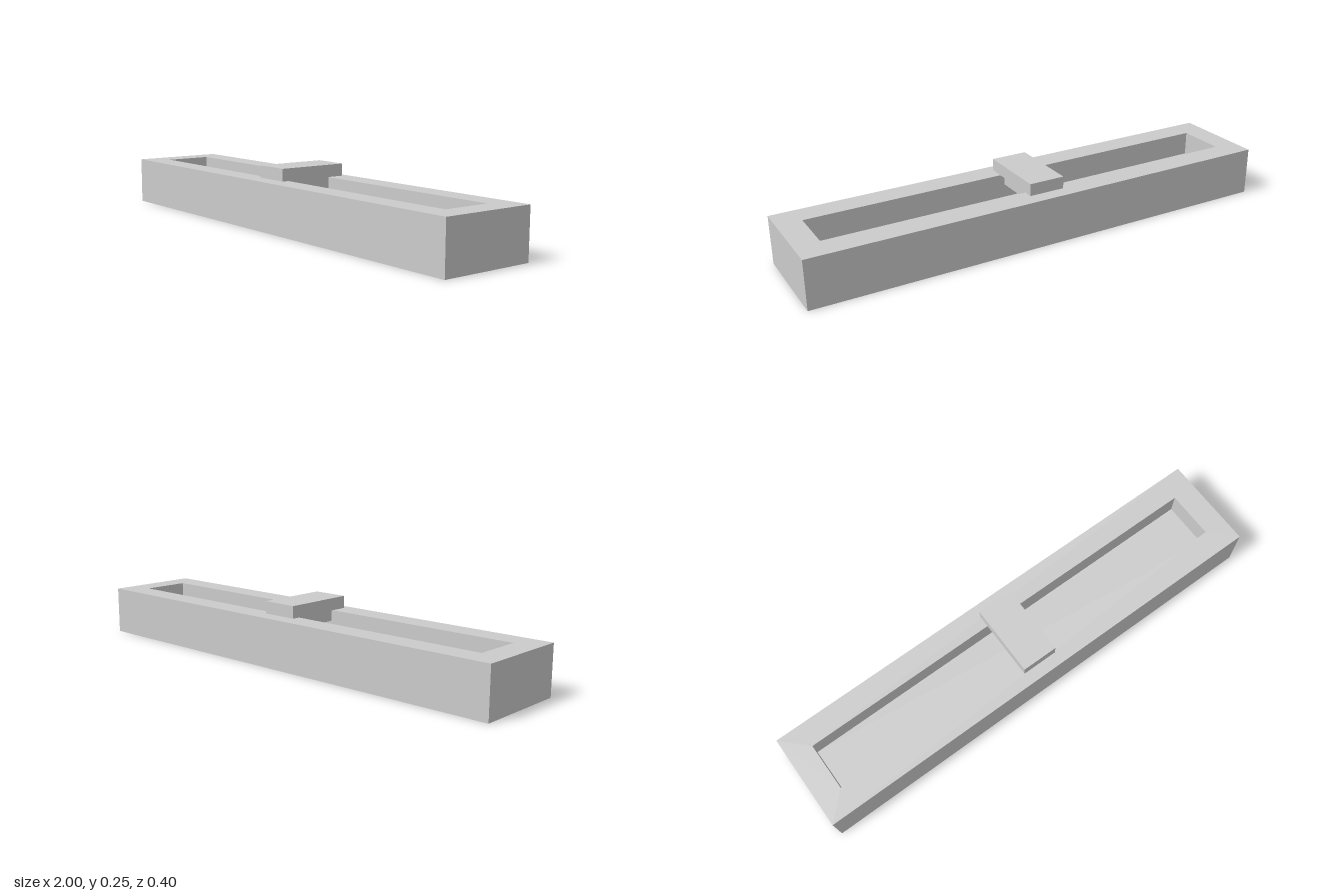
import * as THREE from 'three';

const material = new THREE.MeshStandardMaterial({ color: 0xcccccc, flatShading: true });

// Closed solid through a stack of rectangular rings [halfX, halfZ, y], capped at both ends
function ringSolid(rings) {
  const corners = [[1, 1], [1, -1], [-1, -1], [-1, 1]];
  const loops = rings.map(([hx, hz, y]) => corners.map(([sx, sz]) => [sx * hx, y, sz * hz]));
  const positions = [];
  const quad = (a, b, c, d) => positions.push(...a, ...b, ...c, ...a, ...c, ...d);
  for (let r = 0; r < loops.length - 1; r++) {
    const lower = loops[r], upper = loops[r + 1];
    for (let i = 0; i < 4; i++) {
      const j = (i + 1) % 4;
      quad(lower[i], lower[j], upper[j], upper[i]);
    }
  }
  quad(...loops[loops.length - 1]);
  quad(...[...loops[0]].reverse());
  const geometry = new THREE.BufferGeometry();
  geometry.setAttribute('position', new THREE.Float32BufferAttribute(positions, 3));
  geometry.computeVertexNormals();
  return geometry;
}

function addPart(parent, name, geometry, y = 0) {
  const mesh = new THREE.Mesh(geometry, material);
  mesh.name = name;
  mesh.position.y = y;
  parent.add(mesh);
}

export function createModel() {
  const model = new THREE.Group();
  model.name = 'slider';

  // Long housing with a sunken slot in its top
  addPart(model, 'housing', ringSolid([
    [1, 0.2, 0],
    [1, 0.2, 0.2],
    [0.9, 0.1, 0.2],
    [0.9, 0.1, 0.1],
  ]));

  // Sliding handle: a stem held in the slot and a wider cap above the rim
  const handle = new THREE.Group();
  handle.name = 'handle';
  addPart(handle, 'stem', new THREE.BoxGeometry(0.1, 0.05, 0.2), 0.18);
  addPart(handle, 'cap', new THREE.BoxGeometry(0.15, 0.05, 0.3), 0.23);
  model.add(handle);

  return model;
}
